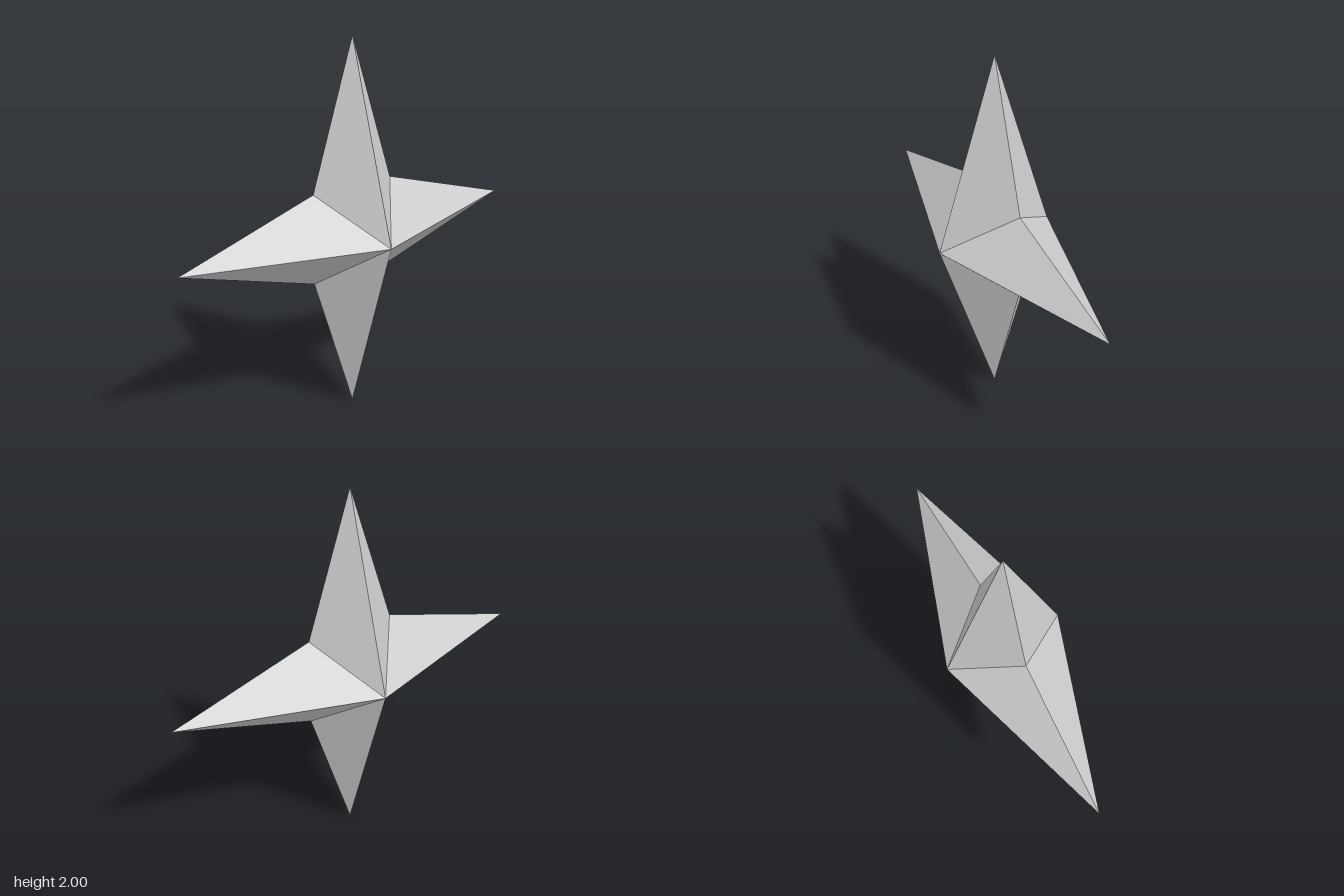
import * as THREE from 'three';

const TIP = 1, VALLEY = 0.24, DEPTH = 0.32;

// One spike pointing up: four triangles from the tip to the two valleys and the two hubs
function spikeGeometry() {
  const tip = [0, TIP, 0];
  const ring = [[VALLEY, VALLEY, 0], [0, 0, DEPTH], [-VALLEY, VALLEY, 0], [0, 0, -DEPTH]];
  const positions = [];
  ring.forEach((corner, i) => {
    positions.push(...tip, ...ring[(i + 1) % 4], ...corner);
  });
  const geometry = new THREE.BufferGeometry();
  geometry.setAttribute('position', new THREE.Float32BufferAttribute(positions, 3));
  geometry.computeVertexNormals();
  return geometry;
}

export function createModel() {
  const star = new THREE.Group();
  star.name = 'fourPointStar';

  const grey = new THREE.MeshStandardMaterial({ color: 0xcccccc, flatShading: true });
  grey.name = 'light grey';

  // Four equal spikes turned around the centre
  const geometry = spikeGeometry();
  ['topSpike', 'leftSpike', 'bottomSpike', 'rightSpike'].forEach((name, i) => {
    const spike = new THREE.Mesh(geometry, grey);
    spike.name = name;
    spike.position.y = TIP;
    spike.rotation.z = -i * Math.PI / 2;
    star.add(spike);
  });
  return star;
}
